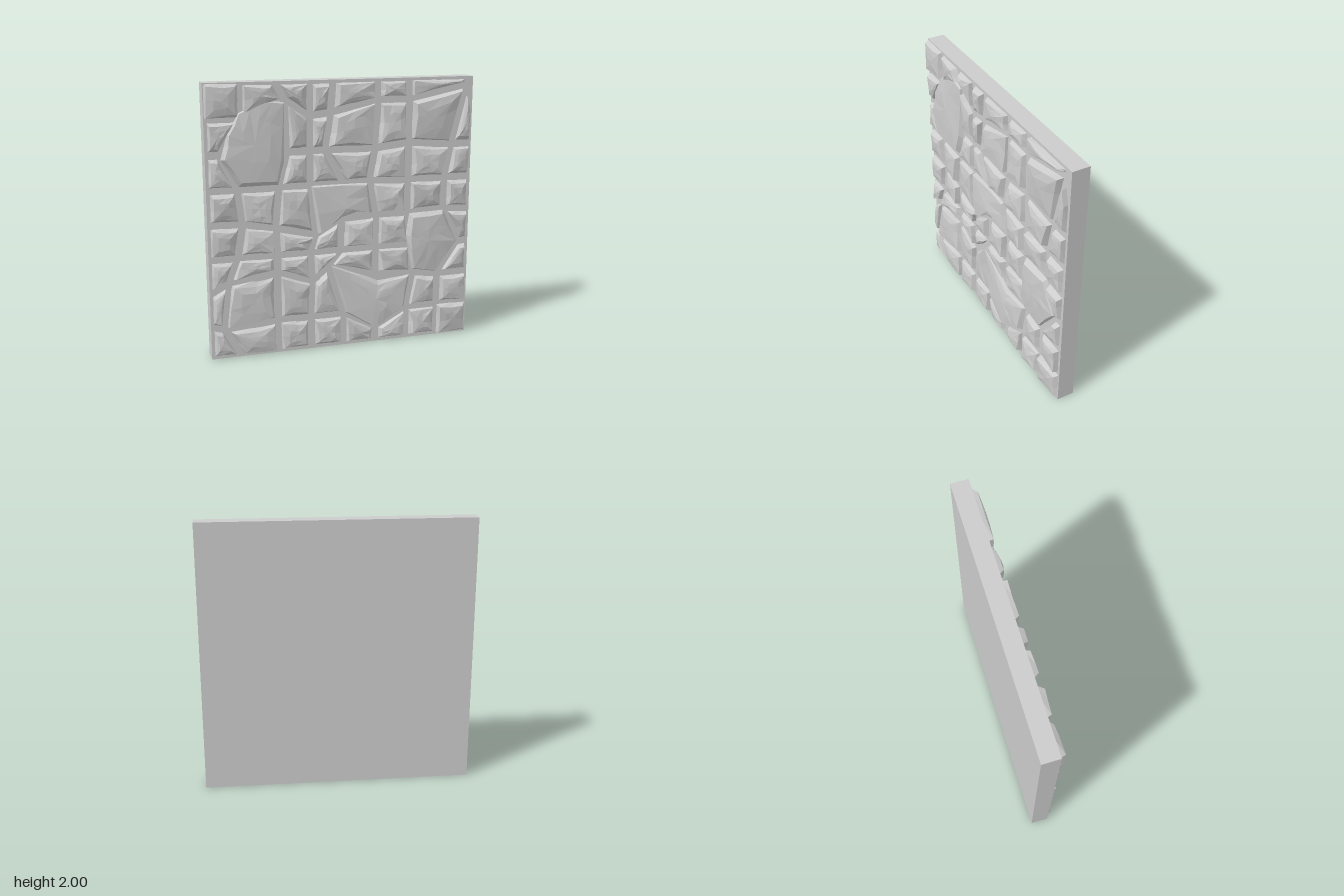
import * as THREE from 'three';

const BASE = 0.04; // front plane of the mortar slab

// small seeded generator for the chipped surfaces
let seed = 7;
function rand(a, b) {
  seed = (seed * 16807) % 2147483647;
  return a + (b - a) * (seed / 2147483647);
}

// joint crossings pulled off the regular 8 x 8 lattice: "column,row": [x, y]
const moved = {
  '1,0': [-0.78, 0], '1,1': [-0.9, 0.22], '5,1': [0.25, 0.12],
  '1,2': [-0.86, 0.57], '2,2': [-0.5, 0.62], '3,2': [-0.24, 0.53],
  '4,2': [-0.12, 0.63], '5,2': [0.25, 0.54], '6,2': [0.55, 0.52],
  '1,3': [-0.79, 0.75], '4,3': [-0.02, 0.75], '6,3': [0.53, 0.75], '7,3': [0.91, 0.74],
  '2,4': [-0.51, 0.95], '3,4': [-0.21, 0.88], '4,4': [-0.02, 0.99], '7,4': [0.79, 1.01],
  '1,5': [-0.78, 1.25], '2,5': [-0.48, 1.25], '5,5': [0.2, 1.26], '7,5': [0.79, 1.25],
  '1,6': [-0.9, 1.5], '2,6': [-0.42, 1.5], '4,6': [-0.14, 1.5], '5,6': [0.24, 1.5],
  '6,6': [0.5, 1.53], '7,6': [0.84, 1.5],
  '2,7': [-0.43, 1.87], '4,7': [-0.1, 1.77], '5,7': [0.26, 1.85], '6,7': [0.5, 1.85],
  '7,7': [0.95, 1.94], '4,8': [-0.08, 2], '7,8': [0.98, 2],
};
const node = (i, j) => moved[`${i},${j}`] || [-1 + i * 0.25, j * 0.25];

// cells taken by the large stones (or too thin to hold one), top row first
const cells = [
  'xxxxxxx.',
  'x.xxxxxx',
  'x.xxxxxx',
  'xxx..xxx',
  'xxxxxx.x',
  'xxxxxx.x',
  'xxxx..xx',
  'xxxxxxxx',
];

// outlines of the stones that span several cells, counter-clockwise
const large = [
  [[-0.78, 1.25], [-0.47, 1.25], [-0.42, 1.42], [-0.42, 1.87], [-0.6, 1.88], [-0.77, 1.8], [-0.86, 1.65], [-0.91, 1.46]],
  [[0, 0.25], [0.21, 0.12], [0.3, 0.12], [0.5, 0.25], [0.55, 0.53], [0.27, 0.51], [-0.12, 0.66]],
  [[0.53, 0.54], [0.74, 0.5], [0.93, 0.75], [0.8, 1.02], [0.5, 1.01], [0.47, 0.83]],
  [[-0.21, 0.87], [-0.02, 0.98], [0.12, 1.02], [0.25, 1], [0.2, 1.26], [-0.26, 1.26]],
];

// moves every side of an outline inward by d
function inset(pts, d) {
  const n = pts.length;
  const normal = (a, b) => {
    const l = Math.hypot(b[0] - a[0], b[1] - a[1]);
    return [-(b[1] - a[1]) / l, (b[0] - a[0]) / l];
  };
  return pts.map((p, i) => {
    const a = normal(pts[(i + n - 1) % n], p);
    const b = normal(p, pts[(i + 1) % n]);
    const k = d / (1 + a[0] * b[0] + a[1] * b[1]);
    return [p[0] + (a[0] + b[0]) * k, p[1] + (a[1] + b[1]) * k];
  });
}

// chipped stone: foot, lip and crown rings closed by a fan
function stoneGeometry(outline, gap) {
  const corners = inset(outline, gap);
  const edge = [];
  corners.forEach((p, i) => {
    const q = corners[(i + 1) % corners.length];
    const t = rand(0.35, 0.65);
    edge.push(p, [p[0] + (q[0] - p[0]) * t, p[1] + (q[1] - p[1]) * t]);
  });
  const n = edge.length;
  const cx = corners.reduce((s, p) => s + p[0], 0) / corners.length;
  const cy = corners.reduce((s, p) => s + p[1], 0) / corners.length;
  const tx = rand(-0.08, 0.08), ty = rand(-0.08, 0.08); // tilt of the face
  const bx = rand(-0.018, 0.018), by = rand(-0.018, 0.018); // uneven bevel widths
  const height = (x, y, h) =>
    Math.min(0.088, Math.max(0.058, h + (x - cx) * tx + (y - cy) * ty));

  const foot = edge.map(([x, y]) => [x, y, BASE - 0.01]);
  const lip = edge.map(([x, y]) => {
    const d = Math.hypot(x - cx, y - cy);
    const ux = (x - cx) / d, uy = (y - cy) / d;
    const w = Math.min(0.3 * d, Math.max(0.006, 0.028 + ux * bx + uy * by + rand(-0.006, 0.006)));
    const px = x - ux * w, py = y - uy * w;
    return [px, py, height(px, py, rand(0.068, 0.076))];
  });
  const crown = lip.map(([x, y]) => {
    const s = rand(0.42, 0.62);
    const px = cx + (x - cx) * s, py = cy + (y - cy) * s;
    return [px, py, height(px, py, rand(0.077, 0.084))];
  });
  const top = [cx, cy, rand(0.08, 0.086)];

  const pos = [];
  const tri = (a, b, c) => pos.push(...a, ...b, ...c);
  for (let i = 0; i < n; i++) {
    const j = (i + 1) % n;
    for (const [lo, hi] of [[foot, lip], [lip, crown]]) {
      tri(lo[i], lo[j], hi[j]);
      tri(lo[i], hi[j], hi[i]);
    }
    tri(crown[i], crown[j], top);
  }
  const geo = new THREE.BufferGeometry();
  geo.setAttribute('position', new THREE.Float32BufferAttribute(pos, 3));
  geo.computeVertexNormals();
  return geo;
}

export function createModel() {
  seed = 7;
  const group = new THREE.Group();
  group.name = 'stoneWallPanel';
  const material = new THREE.MeshStandardMaterial({ color: 0xcccccc, flatShading: true });

  // mortar slab behind the stones
  const slab = new THREE.Mesh(new THREE.BoxGeometry(2, 2, BASE + 0.09), material);
  slab.name = 'mortarSlab';
  slab.position.set(0, 1, (BASE - 0.09) / 2);
  group.add(slab);

  const addStone = (name, outline, gap) => {
    const mesh = new THREE.Mesh(stoneGeometry(outline, gap), material);
    mesh.name = name;
    group.add(mesh);
  };

  // one stone per lattice cell
  for (let j = 0; j < 8; j++) {
    for (let i = 0; i < 8; i++) {
      if (cells[7 - j][i] !== 'x') continue;
      // two corner stones run right out to the panel edge
      const flush = (i === 0 && j === 7) || (i === 7 && j === 0);
      addStone('smallStone', [node(i, j), node(i + 1, j), node(i + 1, j + 1), node(i, j + 1)], flush ? 0.004 : 0.02);
    }
  }

  // large stones
  large.forEach((outline) => addStone('largeStone', outline, 0.012));
  return group;
}
